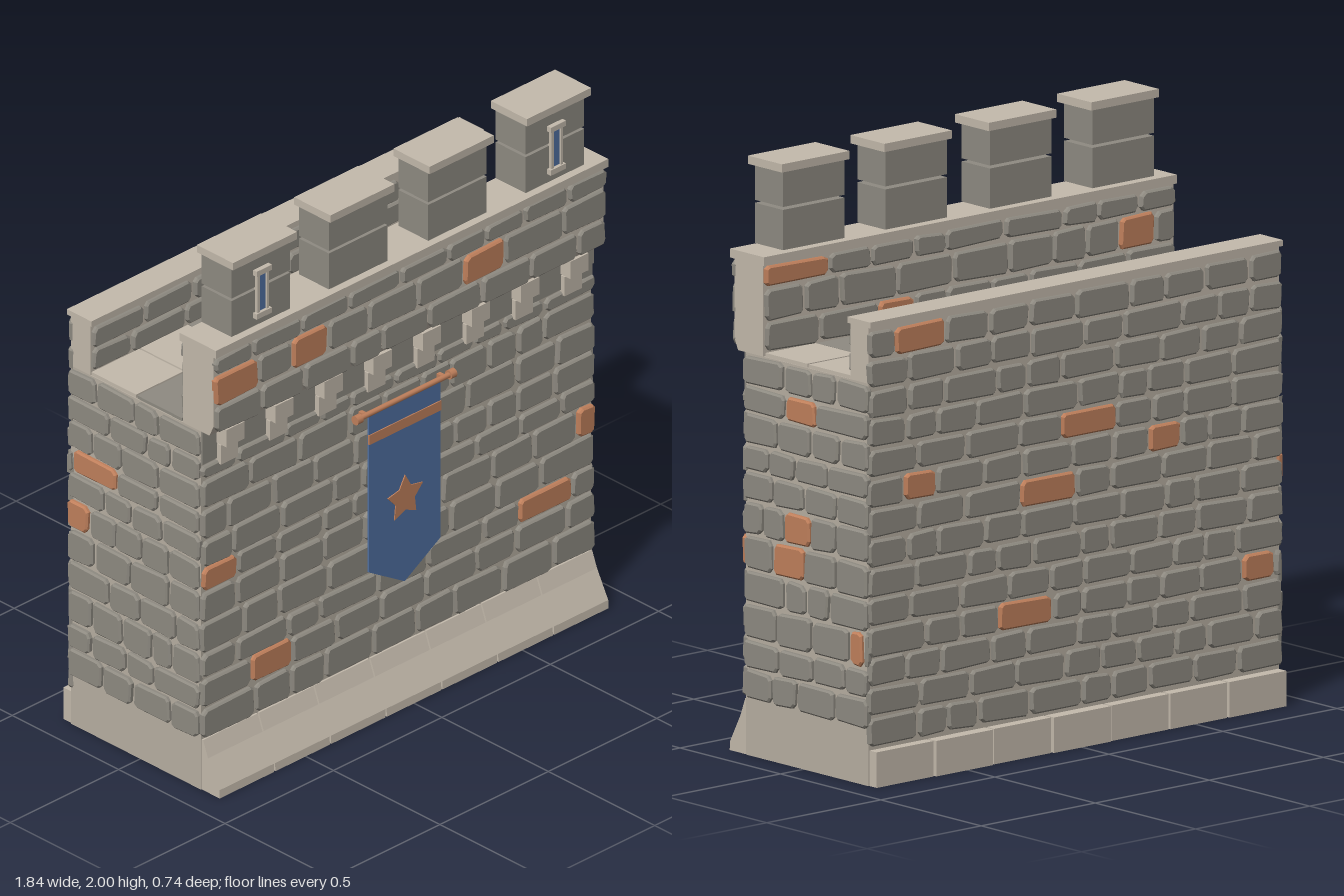
import * as THREE from 'three';
import { mergeGeometries } from 'three/addons/utils/BufferGeometryUtils.js';

const mat = (name, color) => {
  const m = new THREE.MeshStandardMaterial({ color });
  m.name = name;
  return m;
};

export function createModel() {
  const grey = mat('grey stone', 0x8f8b82);
  const pale = mat('pale stone', 0xc4baac);
  const mortar = mat('mortar', 0xb8afa2);
  const clay = mat('clay orange', 0xc0805c);
  const blue = mat('banner blue', 0x5070a2);

  const model = new THREE.Group();
  model.name = 'castleWall';

  let seed = 7;
  const rnd = () => (seed = (seed * 16807) % 2147483647) / 2147483647;
  const jit = (a) => (rnd() - 0.5) * 2 * a;

  const add = (name, geo, material, parent = model) => {
    const m = new THREE.Mesh(geo, material);
    m.name = name;
    parent.add(m);
    return m;
  };
  // box given by its limits
  const box = (name, x0, x1, y0, y1, z0, z1, material) => {
    const m = add(name, new THREE.BoxGeometry(x1 - x0, y1 - y0, z1 - z0), material);
    m.position.set((x0 + x1) / 2, (y0 + y1) / 2, (z0 + z1) / 2);
    return m;
  };
  const shape = (pts) => new THREE.Shape(pts.map(([x, y]) => new THREE.Vector2(x, y)));
  // prism along x from a profile of [z, y] points
  const prism = (name, pts, x0, x1, material) => {
    const g = new THREE.ExtrudeGeometry(shape(pts.map(([z, y]) => [-z, y])), { depth: x1 - x0, bevelEnabled: false });
    g.rotateY(Math.PI / 2);
    add(name, g, material).position.x = x0;
  };

  // one rough stone: uneven quad with clipped corners and a bevelled face
  const stone = (u0, u1, v0, v1) => {
    const b = 0.006, g = 0.006 + b, j = 0.004;
    const c = [[u0 + g, v0 + g], [u1 - g, v0 + g], [u1 - g, v1 - g], [u0 + g, v1 - g]]
      .map(([u, v]) => [u + jit(j), v + jit(j)]);
    const pts = [];
    c.forEach((p, i) => {
      [c[(i + 3) % 4], c[(i + 1) % 4]].forEach((q) => {
        const d = Math.hypot(q[0] - p[0], q[1] - p[1]);
        const k = Math.min(0.3, (0.006 + rnd() * 0.008) / d);
        pts.push([p[0] + (q[0] - p[0]) * k, p[1] + (q[1] - p[1]) * k]);
      });
    });
    const geo = new THREE.ExtrudeGeometry(shape(pts), {
      depth: 0.012 + rnd() * 0.005, bevelThickness: b, bevelSize: b, bevelSegments: 1, steps: 1,
    });
    geo.translate(0, 0, -0.005);
    return geo;
  };

  // stone courses on one face; accents are [row, from, to] clay stones
  const masonry = (name, rows, u0, u1, width, accents, turn, x, z) => {
    const plain = [], bright = [];
    const fill = (a, b) => {
      if (b - a < 0.02) return;
      const n = Math.max(1, Math.round((b - a) / width + jit(0.4)));
      const w = Array.from({ length: n }, () => 0.7 + rnd() * 0.7);
      const total = w.reduce((s, k) => s + k, 0);
      return w.reduce((u, k) => {
        const e = u + ((b - a) * k) / total;
        plain.push([u, e]);
        return e;
      }, a);
    };
    const greyGeo = [];
    for (let r = 0; r + 1 < rows.length; r++) {
      plain.length = 0;
      let u = u0;
      accents.filter((k) => k[0] === r).sort((p, q) => p[1] - q[1]).forEach(([, a, b]) => {
        fill(u, a);
        bright.push(stone(a, b, rows[r], rows[r + 1]));
        u = b;
      });
      fill(u, u1);
      plain.forEach(([a, b]) => greyGeo.push(stone(a, b, rows[r], rows[r + 1])));
    }
    const g = new THREE.Group();
    g.name = name;
    g.rotation.y = turn;
    g.position.set(x, 0, z);
    add(name + 'Stones', mergeGeometries(greyGeo), grey, g);
    if (bright.length) add(name + 'ClayStones', mergeGeometries(bright), clay, g);
    model.add(g);
  };

  // mortar cores
  box('wallCore', -0.9, 0.9, 0, 1.36, -0.325, 0.285, mortar);
  box('rearParapetCore', -0.9, 0.9, 1.36, 1.55, -0.325, -0.235, pale);
  prism('frontParapetCore', [[0.2, 1.36], [0.325, 1.36], [0.343, 1.4], [0.343, 1.67], [0.2, 1.67]], -0.9, 0.9, pale);
  box('corbelBacking', -0.9, 0.9, 1.235, 1.36, 0.28, 0.292, grey);

  // masonry faces
  const sideRows = [0.19, 0.297, 0.395, 0.518, 0.63, 0.75, 0.865, 0.965, 1.057, 1.162, 1.255, 1.36];
  const rearRows = Array.from({ length: 15 }, (_, i) => 0.13 + i * 0.1007);
  masonry('frontWall', [0.19, 0.31, 0.42, 0.515, 0.635, 0.75, 0.84, 0.947, 1.062, 1.175, 1.235], -0.91, 0.91, 0.19,
    [[1, -0.675, -0.49], [2, 0.555, 0.8], [4, 0.825, 0.91], [5, -0.905, -0.74]], 0, 0, 0.285);
  masonry('rearWall', rearRows, -0.91, 0.91, 0.18,
    [[13, -0.79, -0.57], [8, -0.75, -0.61], [9, -0.06, 0.18], [7, -0.24, 0], [8, 0.32, 0.46], [3, -0.34, -0.1], [3, 0.73, 0.87]],
    Math.PI, 0, -0.325);
  masonry('leftWall', sideRows, -0.29, 0.335, 0.15,
    [[9, -0.08, 0.075], [5, -0.085, 0.045], [4, -0.14, 0.015], [2, 0.24, 0.31]], Math.PI / 2, 0.9, 0);
  masonry('rightWall', sideRows, -0.335, 0.29, 0.15,
    [[7, -0.31, -0.1], [5, -0.335, -0.23]], -Math.PI / 2, -0.9, 0);
  const parapetRows = [1.37, 1.475, 1.592, 1.668];
  masonry('frontParapet', parapetRows, -0.905, 0.905, 0.2,
    [[1, -0.905, -0.7], [1, -0.545, -0.38], [1, 0.245, 0.435]], 0, 0, 0.343);
  masonry('frontParapetInner', parapetRows, -0.9, 0.9, 0.2,
    [[2, -0.9, -0.62], [0, -0.4, -0.24], [1, 0.655, 0.81]], Math.PI, 0, 0.2);
  masonry('rearParapetInner', [1.375, 1.46, 1.545], -0.9, 0.9, 0.2, [], 0, 0, -0.235);

  // sloped plinth in front, low plinth behind
  for (let i = 0; i < 7; i++) {
    const x = -0.9 + (i * 1.8) / 7, e = x + 1.8 / 7;
    prism('frontPlinthBlock', [[0.25, 0], [0.37, 0], [0.368, 0.03], [0.315, 0.13], [0.292, 0.19], [0.25, 0.19]],
      x + 0.003, e - 0.003, pale);
    box('rearPlinthBlock', x + 0.004, e - 0.004, 0, 0.12, -0.365 + jit(0.004), -0.3, pale);
  }

  // walkway paving
  const darkTiles = ['0,2', '0,5', '1,0', '1,3', '1,6'];
  for (let r = 0; r < 2; r++) for (let c = 0; c < 8; c++) {
    const x = -0.9 + c * 0.225, z = -0.235 + r * 0.215;
    box('pavingSlab', x + 0.003, x + 0.222, 1.35, 1.372 + jit(0.002), z + 0.003, z + 0.212,
      darkTiles.includes(r + ',' + c) ? grey : pale);
  }

  // parapet copings
  box('frontCoping', -0.905, 0.905, 1.668, 1.698, 0.19, 0.36, pale);
  box('rearCoping', -0.905, 0.905, 1.55, 1.57, -0.34, -0.225, pale);

  // stepped corbels
  for (let i = 0; i < 8; i++) {
    const x = -0.793 + i * 0.2266;
    box('corbelUpper', x - 0.042, x + 0.042, 1.295, 1.36, 0.27, 0.338, pale);
    box('corbelLower', x - 0.04, x + 0.04, 1.217, 1.29, 0.27, 0.31, pale);
  }

  // merlons with capstones
  [-0.678, -0.229, 0.229, 0.678].forEach((x) => {
    box('merlonLower', x - 0.135, x + 0.135, 1.706, 1.842, 0.2, 0.34, grey);
    box('merlonUpper', x - 0.135, x + 0.135, 1.852, 1.972, 0.2, 0.34, grey);
    box('merlonCap', x - 0.148, x + 0.148, 1.972, 2, 0.19, 0.36, pale);
  });

  // arrow slits on the outer merlons
  [-0.678, 0.678].forEach((x) => {
    box('slitOpening', x - 0.017, x + 0.017, 1.755, 1.905, 0.338, 0.345, blue);
    box('slitLintel', x - 0.035, x + 0.035, 1.9, 1.92, 0.335, 0.357, pale);
    box('slitSill', x - 0.035, x + 0.035, 1.738, 1.758, 0.335, 0.357, pale);
    [-1, 1].forEach((s) => box('slitJamb', x + s * 0.021 - 0.005, x + s * 0.021 + 0.005, 1.755, 1.905, 0.335, 0.352, pale));
  });

  // banner with rod, stripe and star
  const plate = (name, pts, z, material) =>
    (add(name, new THREE.ExtrudeGeometry(shape(pts), { depth: 0.006, bevelEnabled: false }), material).position.z = z);
  plate('bannerCloth', [[-0.165, 1.14], [-0.165, 0.545], [0, 0.445], [0.165, 0.545], [0.165, 1.14]], 0.319, blue);
  plate('bannerStripe', [[-0.166, 1.03], [0.166, 1.03], [0.166, 1.066], [-0.166, 1.066]], 0.323, clay);
  plate('bannerStar', Array.from({ length: 10 }, (_, i) => {
    const r = i % 2 ? 0.046 : 0.085, a = Math.PI / 2 + (i * Math.PI) / 5;
    return [r * Math.cos(a), 0.765 + r * Math.sin(a)];
  }), 0.323, clay);
  const rod = (name, r, len, x) => {
    const m = add(name, new THREE.CylinderGeometry(r, r, len, 10), clay);
    m.rotation.z = Math.PI / 2;
    m.position.set(x, 1.146, 0.324);
  };
  rod('bannerRod', 0.01, 0.44, 0);
  [-1, 1].forEach((s) => {
    rod('rodEnd', 0.017, 0.025, s * 0.216);
    box('rodBracket', s * 0.18 - 0.008, s * 0.18 + 0.008, 1.138, 1.154, 0.28, 0.324, clay);
  });

  return model;
}
